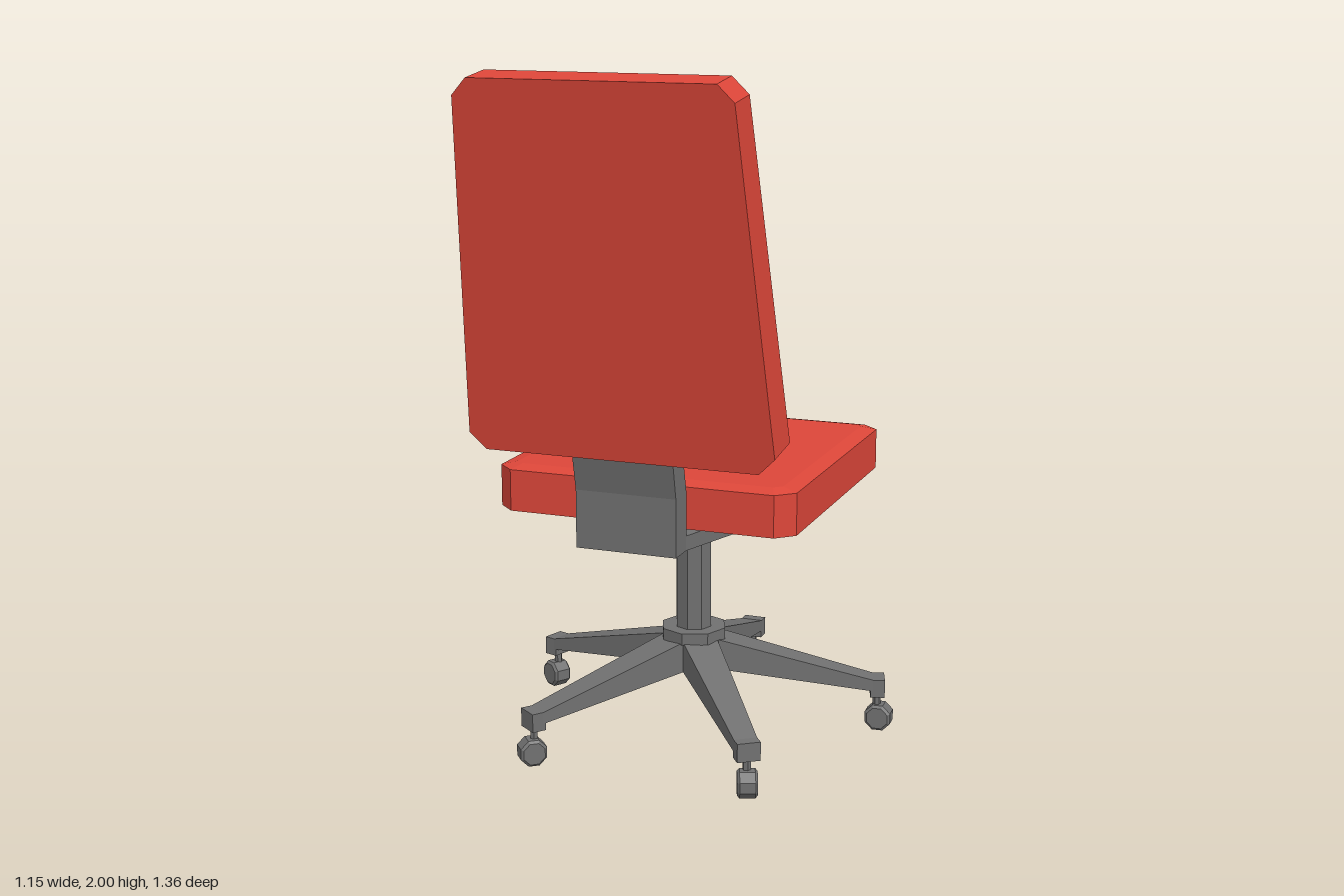
import * as THREE from 'three';

const red = new THREE.MeshStandardMaterial({ color: 0xdc4639 });
red.name = 'red upholstery';
const grey = new THREE.MeshStandardMaterial({ color: 0x707070 });
grey.name = 'grey metal';

function add(parent, geometry, material, name) {
  const mesh = new THREE.Mesh(geometry, material);
  mesh.name = name;
  parent.add(mesh);
  return mesh;
}

const shapeOf = (points) => new THREE.Shape(points.map(([x, y]) => new THREE.Vector2(x, y)));
// mirror a right-hand outline (listed bottom to top) into a closed shape
const mirrored = (half) => shapeOf([...half, ...half.map(([x, y]) => [-x, y]).reverse()]);
const flat = (geometry) => {
  const g = geometry.index ? geometry.toNonIndexed() : geometry;
  g.computeVertexNormals();
  return g;
};

// move every vertex by a rule
function reshape(geometry, rule) {
  const p = geometry.attributes.position;
  for (let i = 0; i < p.count; i++) p.setXYZ(i, ...rule(p.getX(i), p.getY(i), p.getZ(i)));
  return flat(geometry);
}

// one leg of the base, pointing along +z, with its caster
function makeLeg() {
  const leg = new THREE.Group();
  leg.name = 'baseLeg';
  const beam = reshape(new THREE.BoxGeometry(2, 1, 1), (x, y, z) => {
    const t = z + 0.5;
    const top = 0.312 - 0.147 * t, bottom = 0.21 - 0.08 * t;
    return [x * (0.056 - 0.022 * t), y > 0 ? top : bottom, 0.54 * t];
  });
  add(leg, beam, grey, 'legBeam');
  add(leg, new THREE.BoxGeometry(0.068, 0.055, 0.043), grey, 'legEnd').position.set(0, 0.1375, 0.5535);
  add(leg, flat(new THREE.CylinderGeometry(0.012, 0.012, 0.05, 6)), grey, 'casterStem').position.set(0, 0.09, 0.553);

  // octagonal wheel with chamfered rims
  const profile = [[0, -0.029], [0.034, -0.029], [0.042, -0.022], [0.042, 0.022], [0.034, 0.029], [0, 0.029]];
  const wheelGeo = new THREE.LatheGeometry(profile.map(([r, y]) => new THREE.Vector2(r, y)), 8);
  wheelGeo.rotateY(Math.PI / 8).rotateZ(Math.PI / 2);
  const wheel = add(leg, flat(wheelGeo), grey, 'casterWheel');
  wheel.position.set(0, 0.041, 0.56);
  wheel.rotation.y = -0.25;
  return leg;
}

export function createModel() {
  const chair = new THREE.Group();
  chair.name = 'officeChair';
  chair.position.x = -0.005;

  // seat cushion: chamfered square with softly bevelled faces
  const seatShape = mirrored([[0.392, -0.527], [0.442, -0.48], [0.442, 0.313], [0.392, 0.36]]);
  const seat = new THREE.ExtrudeGeometry(seatShape, {
    depth: 0.12, bevelThickness: 0.01, bevelSize: 0.045, bevelOffset: -0.045, bevelSegments: 1,
  });
  seat.rotateX(Math.PI / 2).translate(0, 0.87, 0);
  add(chair, seat, red, 'seat');

  // tapered, leaning backrest: y of the outline runs 0..1 up the panel
  const backShape = mirrored([[0.395, 0], [0.442, 0.045], [0.386, 0.955], [0.342, 1]]);
  const back = new THREE.ExtrudeGeometry(backShape, { depth: 1, bevelEnabled: false });
  reshape(back, (x, t, z) => (z < 0.5
    ? [x, 0.98 + 1.02 * t, 0.371 + 0.204 * t]
    : [x, 0.962 + 1.024 * t, 0.499 + 0.185 * t]));
  add(chair, back, red, 'backrest');

  // plate under the seat, narrowing towards the backrest
  const plateShape = mirrored([[0.215, -0.297], [0.215, 0.18], [0.147, 0.38]]);
  const plate = new THREE.ExtrudeGeometry(plateShape, { depth: 0.042, bevelEnabled: false });
  plate.rotateX(Math.PI / 2).translate(0, 0.737, 0);
  add(chair, plate, grey, 'seatPlate');

  // bent support joining plate and backrest
  const supportShape = shapeOf([[0.378, 0.695], [0.458, 0.695], [0.458, 0.86], [0.488, 1.0], [0.412, 1.0], [0.378, 0.86]]);
  const support = new THREE.ExtrudeGeometry(supportShape, { depth: 0.294, bevelEnabled: false });
  support.rotateY(-Math.PI / 2).translate(0.147, 0, 0);
  add(chair, support, grey, 'backSupport');

  // column and five-legged base
  const base = new THREE.Group();
  base.name = 'base';
  base.position.z = -0.072;
  chair.add(base);
  add(base, flat(new THREE.CylinderGeometry(0.055, 0.055, 0.41, 8)), grey, 'column').position.y = 0.5;
  add(base, flat(new THREE.CylinderGeometry(0.1, 0.1, 0.035, 8)), grey, 'hub').position.y = 0.304;
  for (let i = 0; i < 5; i++) {
    const leg = makeLeg();
    leg.rotation.y = Math.PI + (i * Math.PI * 2) / 5;
    base.add(leg);
  }

  const model = new THREE.Group();
  model.add(chair);
  return model;
}
